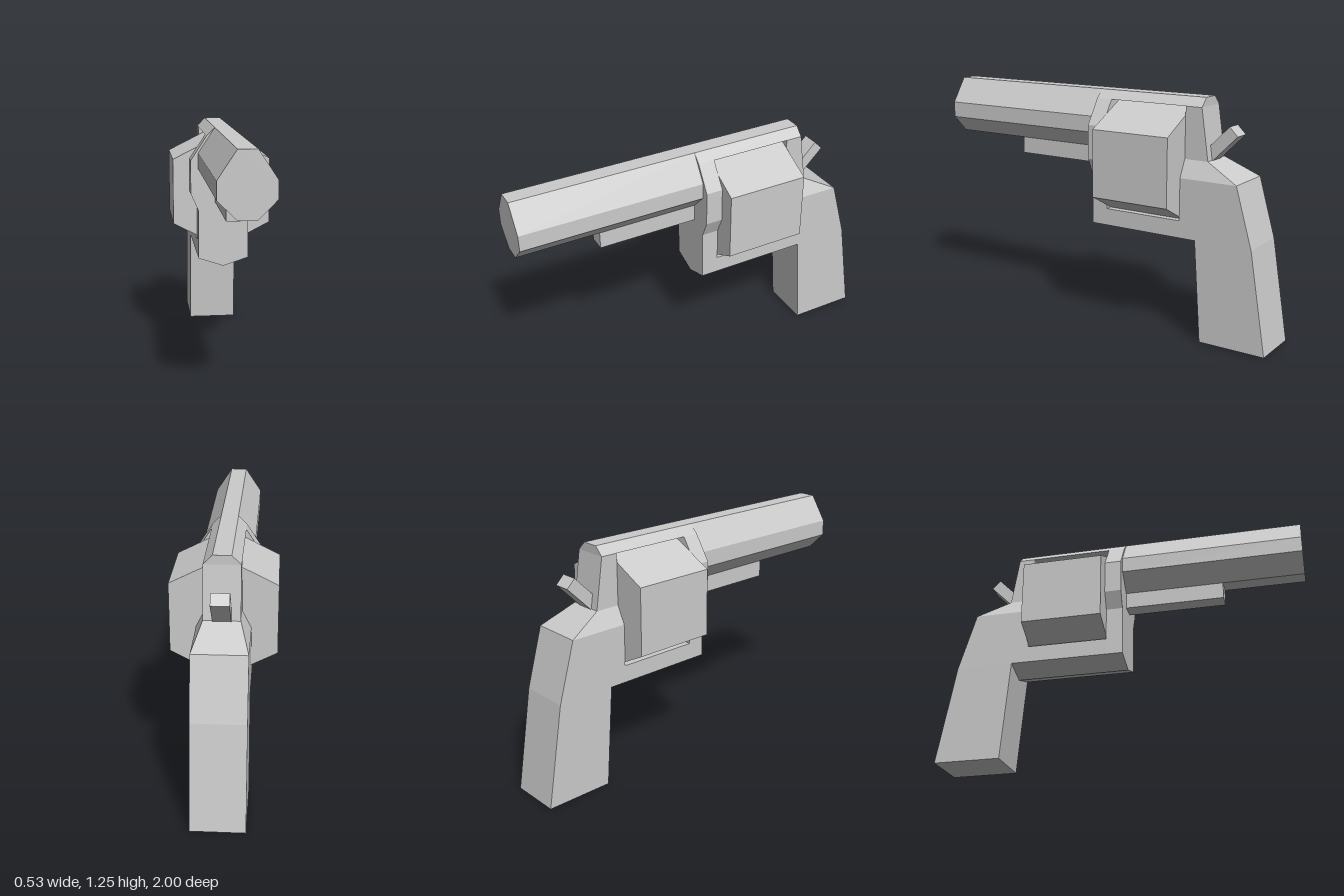
import * as THREE from 'three';

const material = new THREE.MeshStandardMaterial({ color: 0xcccccc, flatShading: true });

function addMesh(group, name, geometry) {
  const mesh = new THREE.Mesh(geometry, material);
  mesh.name = name;
  group.add(mesh);
  return mesh;
}

// Mirror a right-hand half outline [x, y] (top to bottom) and extrude it from zBack to zFront
function symmetricPrism(half, zBack, zFront) {
  const left = half.filter(([x]) => x > 0).map(([x, y]) => [-x, y]).reverse();
  const shape = new THREE.Shape([...half, ...left].map(([x, y]) => new THREE.Vector2(x, y)));
  const geometry = new THREE.ExtrudeGeometry(shape, { depth: zFront - zBack, bevelEnabled: false });
  return geometry.translate(0, 0, zBack);
}

// Loft rectangular sections, bottom to top; each row is [y, zFront, zBack, halfWidth]
function rectangularLoft(rows) {
  const rings = rows.map(([y, zf, zb, w]) => [[-w, y, zf], [w, y, zf], [w, y, zb], [-w, y, zb]]);
  const positions = [];
  const quad = (a, b, c, d) => positions.push(...a, ...b, ...c, ...a, ...c, ...d);
  for (let i = 0; i < rings.length - 1; i++) {
    for (let k = 0; k < 4; k++) {
      const n = (k + 1) % 4;
      quad(rings[i][k], rings[i][n], rings[i + 1][n], rings[i + 1][k]);
    }
  }
  const top = rings[rings.length - 1];
  quad(...top);
  quad(...[...rings[0]].reverse());
  const geometry = new THREE.BufferGeometry();
  geometry.setAttribute('position', new THREE.Float32BufferAttribute(positions, 3));
  geometry.computeVertexNormals();
  return geometry;
}

export function createModel() {
  const model = new THREE.Group();
  model.name = 'revolver';

  // Eight-sided barrel with the ejector rod housing below it
  addMesh(model, 'barrel', symmetricPrism(
    [[0.045, 1.245], [0.135, 1.11], [0.135, 1.025], [0.045, 0.935]], 0.02, 1));
  addMesh(model, 'ejectorHousing', new THREE.BoxGeometry(0.09, 0.09, 0.54))
    .position.set(0, 0.89, 0.29);

  // Frame around the cylinder: front wall, top strap and bottom strap
  addMesh(model, 'frameFront', symmetricPrism(
    [[0.09, 1.2], [0.175, 1.07], [0.175, 0.89], [0.135, 0.8], [0.135, 0.535], [0, 0.49]], -0.07, 0.02));
  addMesh(model, 'topStrap', symmetricPrism([[0.045, 1.245], [0.09, 1.2]], -0.6, 0.02));
  addMesh(model, 'bottomStrap', symmetricPrism(
    [[0.135, 0.625], [0.135, 0.535], [0, 0.49]], -0.6, -0.07));

  // Six-sided cylinder
  addMesh(model, 'cylinder', symmetricPrism(
    [[0, 1.2], [0.265, 1.067], [0.265, 0.713], [0, 0.575]], -0.51, -0.07));

  // Grip rising into the rear of the frame
  addMesh(model, 'gripAndRearFrame', rectangularLoft([
    [0, -0.64, -1, 0.135],
    [0.535, -0.6, -0.91, 0.135],
    [0.535, -0.51, -0.91, 0.135],
    [0.845, -0.51, -0.82, 0.135],
    [0.935, -0.51, -0.64, 0.09],
    [1.2, -0.51, -0.6, 0.09],
  ]));

  // Hammer, leaning back at 45 degrees
  const hammer = addMesh(model, 'hammer', new THREE.BoxGeometry(0.09, 0.24, 0.064));
  hammer.position.set(0, 1.003, -0.668);
  hammer.rotation.x = -Math.PI / 4;

  return model;
}
